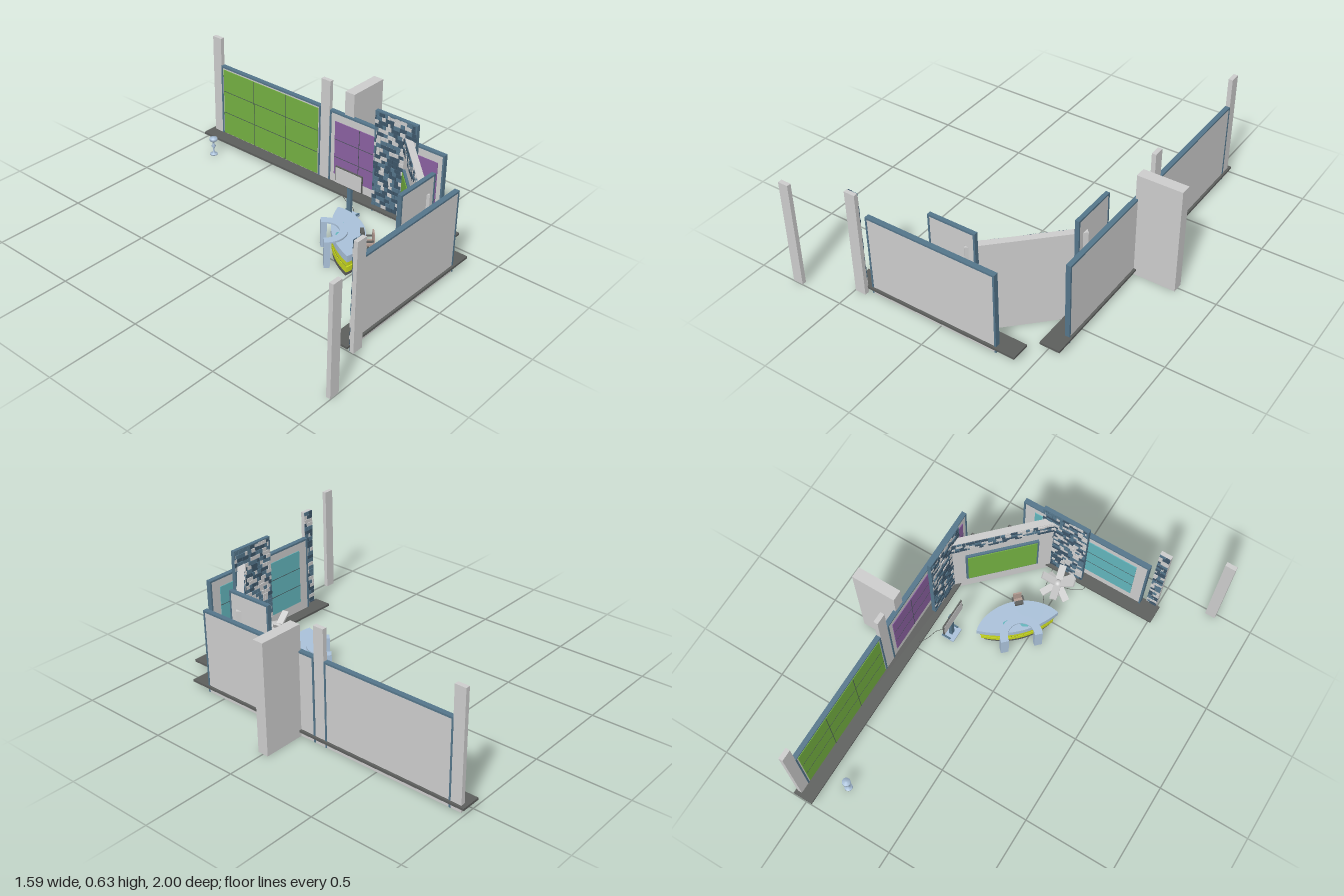
import * as THREE from 'three';
import { mergeGeometries } from 'three/addons/utils/BufferGeometryUtils.js';

const mats = {};
const mat = (color) => (mats[color] ??= new THREE.MeshStandardMaterial({ color, side: THREE.DoubleSide }));
const GREY = 0xcccccc, FRAME = 0x54758a, DARK = 0x5c5e5c, GREEN = 0x73af41, LIME = 0xc8d820;
const BLUE = 0xa9c0d8, CYAN = 0x62b4bb, PURPLE = 0x8a60a0;

function add(parent, name, geometry, color, x = 0, y = 0, z = 0) {
  const m = new THREE.Mesh(geometry, mat(color));
  m.name = name;
  m.position.set(x, y, z);
  parent.add(m);
  return m;
}

// Box given by its low and high corner
function span(parent, name, color, x0, x1, y0, y1, z0, z1) {
  return add(parent, name, new THREE.BoxGeometry(x1 - x0, y1 - y0, z1 - z0), color,
    (x0 + x1) / 2, (y0 + y1) / 2, (z0 + z1) / 2);
}

function place(parent, name, x, z, turn) {
  const g = new THREE.Group();
  g.name = name;
  g.position.set(x, 0, z);
  g.rotation.y = turn;
  parent.add(g);
  return g;
}

function cable(parent, points) {
  const curve = new THREE.CatmullRomCurve3(points.map((p) => new THREE.Vector3(...p)));
  add(parent, 'cable', new THREE.TubeGeometry(curve, 24, 0.0015, 5), DARK);
}

let seed = 11;
const rand = () => (seed = (seed * 16807) % 2147483647) / 2147483647;

// Mosaic of grey and blue tiles of mixed widths on the inner (-z) side
function mosaic(parent, x0, x1, y0, y1, z) {
  const sets = { [GREY]: [], [FRAME]: [], [0x3d5568]: [] };
  const keys = Object.keys(sets);
  const rows = Math.max(1, Math.round((y1 - y0) / 0.022)), h = (y1 - y0) / rows;
  for (let r = 0; r < rows; r++) {
    for (let x = x0; x < x1 - 0.003;) {
      const w = Math.min(0.014 + rand() * 0.03, x1 - x), t = 0.003 + rand() * 0.004;
      const box = new THREE.BoxGeometry(w - 0.002, h - 0.002, t);
      sets[keys[Math.floor(rand() * 3)]].push(box.translate(x + w / 2, y0 + (r + 0.5) * h, z - t / 2));
      x += w;
    }
  }
  for (const k of keys) if (sets[k].length) add(parent, 'mosaicTiles', mergeGeometries(sets[k]), Number(k));
}

// Grey panel with a blue border along the top and both ends
function framedWall(g, w, h, d) {
  const a = w / 2, f = 0.01;
  span(g, 'panel', GREY, -a + f, a - f, 0, h - f, -d / 2 + 0.004, d / 2 - 0.002);
  span(g, 'topFrame', FRAME, -a, a, h - f, h, -d / 2, d / 2);
  for (const s of [-1, 1]) {
    add(g, 'sideFrame', new THREE.BoxGeometry(f, h - f, d), FRAME, s * (a - f / 2), (h - f) / 2, 0);
  }
}

// Coloured display with thin joints between its sections
function display(g, color, w, y0, y1, z, cols, rows, joint = 0x445055) {
  span(g, 'display', color, -w / 2, w / 2, y0, y1, z - 0.004, z);
  for (let i = 1; i < cols; i++) {
    const x = -w / 2 + (w * i) / cols;
    span(g, 'displayJoint', joint, x - 0.0015, x + 0.0015, y0, y1, z - 0.005, z);
  }
  for (let i = 1; i < rows; i++) {
    const y = y0 + ((y1 - y0) * i) / rows;
    span(g, 'displayJoint', joint, -w / 2, w / 2, y - 0.0015, y + 0.0015, z - 0.005, z);
  }
}

function tiledWall(parent, x, z, turn, w) {
  const g = place(parent, 'tiledWall', x, z, turn);
  framedWall(g, w, 0.6, 0.022);
  mosaic(g, -w / 2, w / 2, 0.04, 0.595, -0.007);
}

// Lens-shaped desk layer; k insets the outline
function deskLayer(g, name, color, k, y0, y1) {
  const s = new THREE.Shape();
  s.moveTo(-0.22 * k, 0);
  s.quadraticCurveTo(0, 0.11 * k, 0.22 * k, 0);
  s.bezierCurveTo(0.19 * k, -0.06 * k, 0.1 * k, -0.115 * k, 0, -0.115 * k);
  s.bezierCurveTo(-0.1 * k, -0.115 * k, -0.19 * k, -0.06 * k, -0.22 * k, 0);
  const geo = new THREE.ExtrudeGeometry(s, { depth: y1 - y0, bevelEnabled: false, curveSegments: 20 });
  add(g, name, geo.rotateX(-Math.PI / 2), color, 0, y0, 0);
}

function desk(parent) {
  const g = place(parent, 'desk', 0.068, 0.355, Math.PI / 4);
  deskLayer(g, 'deskFoot', DARK, 0.82, 0, 0.03);
  deskLayer(g, 'lowerBand', LIME, 0.9, 0.03, 0.06);
  deskLayer(g, 'darkBand', DARK, 0.86, 0.06, 0.07);
  deskLayer(g, 'upperBand', LIME, 0.92, 0.07, 0.105);
  deskLayer(g, 'deskTop', BLUE, 1, 0.105, 0.142);
  // Arch: two legs in front joined by a half ring over the top
  const arch = new THREE.Shape();
  arch.absarc(0, 0, 0.112, Math.PI, 0, true);
  arch.absarc(0, 0, 0.07, 0, Math.PI, false);
  const half = new THREE.ExtrudeGeometry(arch, { depth: 0.01, bevelEnabled: false, curveSegments: 20 });
  add(g, 'archTop', half.rotateX(Math.PI / 2), BLUE, 0, 0.152, -0.085);
  for (const s of [-1, 1]) {
    add(g, 'archLeg', new THREE.BoxGeometry(0.042, 0.152, 0.03), BLUE, s * 0.091, 0.076, -0.085);
    const inlay = new THREE.CylinderGeometry(0.024, 0.024, 0.002, 24);
    add(g, 'deskInlay', inlay.scale(1.4, 1, 0.8), CYAN, s * 0.045, 0.143, s * 0.01 - 0.01);
  }
}

function chair(parent) {
  const g = place(parent, 'chair', 0.13, 0.47, Math.PI / 4);
  add(g, 'chairBase', new THREE.CylinderGeometry(0.025, 0.028, 0.006, 16), DARK, 0, 0.003, 0);
  add(g, 'chairPost', new THREE.CylinderGeometry(0.005, 0.005, 0.08, 10), DARK, 0, 0.045, 0);
  add(g, 'chairSeat', new THREE.BoxGeometry(0.05, 0.012, 0.05), 0xb09a90, 0, 0.09, 0);
  add(g, 'chairBack', new THREE.BoxGeometry(0.045, 0.06, 0.008), 0xb09a90, 0, 0.125, 0.026);
  for (const s of [-1, 1]) add(g, 'chairArm', new THREE.BoxGeometry(0.008, 0.008, 0.05), DARK, s * 0.027, 0.115, 0);
  add(g, 'deskDevice', new THREE.BoxGeometry(0.045, 0.016, 0.02), DARK, 0.005, 0.155, -0.03);
}

// Star of pale slabs fanning from one centre
function starSculpture(parent) {
  const g = place(parent, 'starSculpture', 0, 0.66, 0);
  for (let i = 0; i < 8; i++) {
    const arm = new THREE.Group();
    arm.position.y = 0.13;
    arm.rotation.set(0, i * Math.PI / 4 + 0.25, [0.55, -0.2, 0.15, -0.5][i % 4], 'YXZ');
    add(arm, 'starSlab', new THREE.BoxGeometry(0.085, 0.012, 0.038), 0xe4e4e4, 0.06, 0, 0);
    g.add(arm);
  }
  add(g, 'starCore', new THREE.SphereGeometry(0.022, 16, 10), GREY, 0, 0.13, 0);
  add(g, 'starPost', new THREE.CylinderGeometry(0.006, 0.02, 0.12, 12), GREY, 0, 0.06, 0);
}

function monitorStand(parent) {
  const g = place(parent, 'monitorStand', 0.36, 0.167, 0);
  span(g, 'standBase', BLUE, -0.035, 0.04, 0.004, 0.014, -0.042, 0.042);
  span(g, 'standPost', FRAME, -0.009, 0.009, 0.014, 0.23, -0.012, 0.012);
  for (const s of [-1, 1]) add(g, 'standBracket', new THREE.BoxGeometry(0.05, 0.008, 0.008), FRAME, 0.01, 0.02, s * 0.038);
  span(g, 'monitor', DARK, -0.017, -0.009, 0.185, 0.285, -0.088, 0.088);
  span(g, 'monitorScreen', GREY, -0.019, -0.017, 0.19, 0.28, -0.084, 0.084);
}

export function createModel() {
  const root = new THREE.Group();
  root.name = 'studioSet';

  // Raised floor strips
  span(root, 'longPlatform', DARK, 0.463, 0.572, 0.026, 0.038, -1, 0.715);
  span(root, 'frontPlatform', DARK, -0.518, 0.425, 0.026, 0.038, 0.76, 0.863);

  // Three straight walls with displays on their inner sides
  const wallA = place(root, 'longWallBack', 0.548, -0.553, Math.PI / 2);
  framedWall(wallA, 0.735, 0.465, 0.026);
  display(wallA, GREEN, 0.7, 0.042, 0.445, -0.009, 3, 3);
  const wallB = place(root, 'longWallFront', 0.548, 0.246, Math.PI / 2);
  framedWall(wallB, 0.735, 0.465, 0.026);
  display(wallB, PURPLE, 0.66, 0.09, 0.41, -0.009, 4, 3);
  const wallC = place(root, 'frontWall', -0.05, 0.838, 0);
  framedWall(wallC, 0.735, 0.465, 0.028);
  display(wallC, CYAN, 0.6, 0.095, 0.41, -0.01, 1, 3);

  // Tiled walls and the diagonal corner wall
  tiledWall(root, 0.05, 0.79, 0, 0.262);
  tiledWall(root, 0.5, 0.342, Math.PI / 2, 0.26);
  const corner = place(root, 'cornerWall', 0.315, 0.598, Math.PI / 4);
  span(corner, 'cornerPanel', GREY, -0.28, 0.28, 0, 0.51, -0.016, 0.02);
  mosaic(corner, -0.27, 0.27, 0.43, 0.507, -0.016);
  span(corner, 'screenFrame', FRAME, -0.195, 0.195, 0.105, 0.365, -0.03, -0.016);
  display(corner, GREEN, 0.37, 0.115, 0.355, -0.03, 1, 1);

  // Columns
  span(root, 'farColumn', GREY, -0.797, -0.74, 0, 0.6, 0.975, 0.998);
  span(root, 'frontColumn', GREY, -0.498, -0.437, 0, 0.6, 0.862, 0.884);
  mosaic(place(root, 'columnTiles', -0.4675, 0.862, 0), -0.03, 0.03, 0, 0.6, 0);
  for (const z of [-0.949, -0.154]) span(root, 'wallColumn', GREY, 0.536, 0.56, 0, 0.63, z - 0.03, z + 0.03);
  span(root, 'outerBlock', GREY, 0.547, 0.79, 0, 0.6, -0.03, 0.03);

  // Furniture
  desk(root);
  chair(root);
  starSculpture(root);
  monitorStand(root);
  const profile = [[0, 0], [0.022, 0], [0.021, 0.006], [0.005, 0.012], [0.005, 0.04], [0.013, 0.055],
    [0.005, 0.068], [0.006, 0.08], [0.022, 0.09], [0.022, 0.106], [0, 0.11]].map((p) => new THREE.Vector2(...p));
  add(root, 'stool', new THREE.LatheGeometry(profile, 24), BLUE, 0.36, 0, -0.825);

  // Cables on the floor
  cable(root, [[0.38, 0.01, 0.17], [0.43, 0.004, 0.14], [0.45, 0.02, 0.07], [0.47, 0.039, 0.02]]);
  cable(root, [[0.05, 0.01, 0.48], [0.02, 0.004, 0.55], [0.06, 0.004, 0.62], [0.09, 0.01, 0.77]]);
  cable(root, [[0, 0.01, 0.7], [-0.06, 0.004, 0.72], [-0.11, 0.01, 0.75], [-0.12, 0.039, 0.78]]);
  return root;
}
